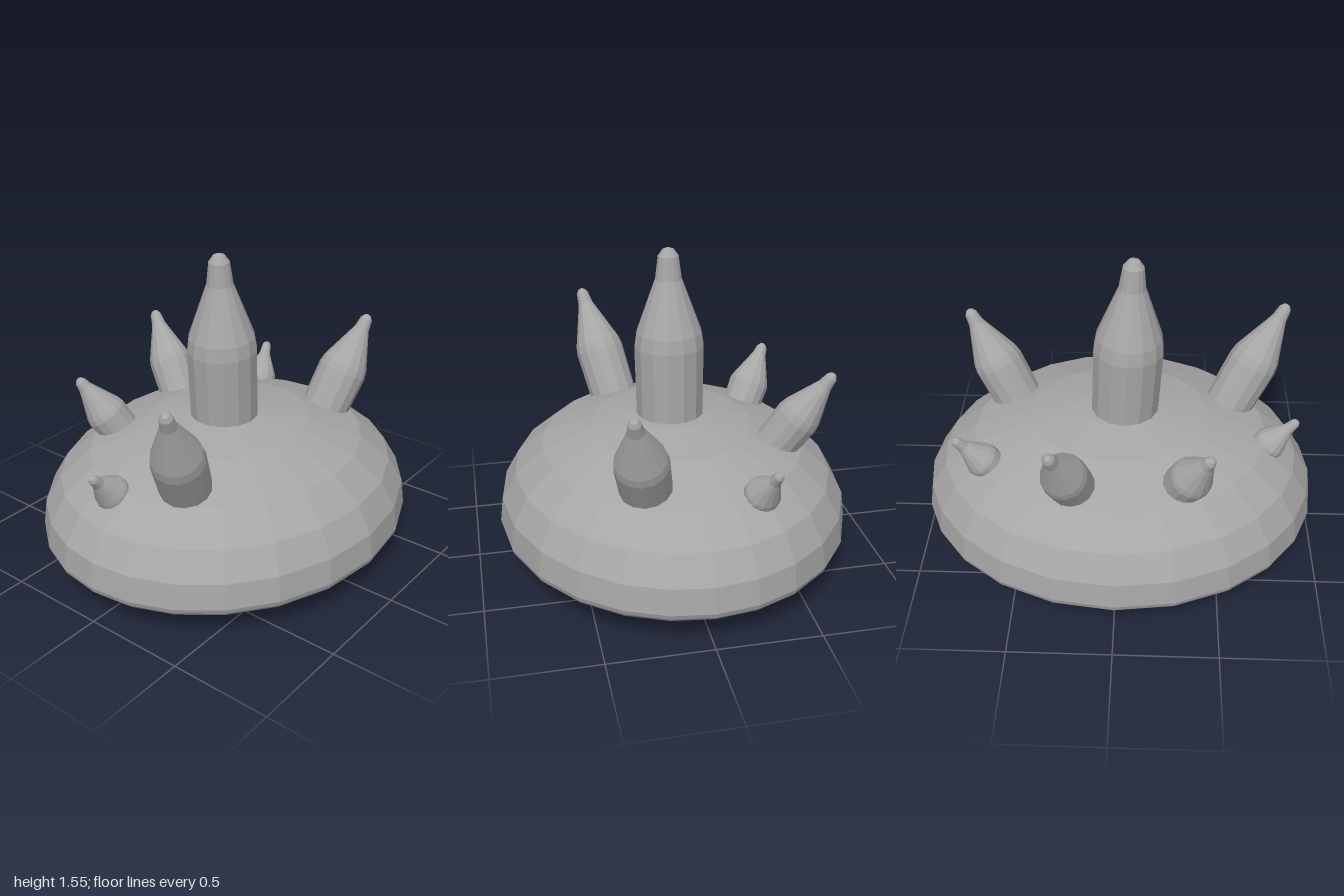
import * as THREE from 'three';

const stone = new THREE.MeshStandardMaterial({ color: 0xa6a6a6, flatShading: true });
stone.name = 'grey stone';

const lathe = (points, sides) =>
  new THREE.LatheGeometry(points.map(([r, y]) => new THREE.Vector2(r, y)), sides);

// Flattened oval dome with a shallow conical underside
function makeBody() {
  const geo = lathe([
    [0, 0], [0.82, 0.083], [0.94, 0.125], [0.975, 0.147], [0.992, 0.166], [1, 0.19],
    [0.982, 0.315], [0.9, 0.445], [0.74, 0.567], [0.45, 0.665], [0.2, 0.708], [0, 0.718],
  ], 24);
  const pos = geo.attributes.position;
  // Slide the ribs around the rim, then squash the circle into an oval
  for (let i = 0; i < pos.count; i++) {
    const x = pos.getX(i), z = pos.getZ(i), r = Math.hypot(x, z);
    const a = Math.atan2(x * 1.134, z);
    pos.setX(i, r * Math.sin(a));
    pos.setZ(i, r * Math.cos(a) * 0.88);
  }
  geo.computeVertexNormals();
  const mesh = new THREE.Mesh(geo, stone);
  mesh.name = 'domeBody';
  return mesh;
}

// Blunt spike from base to tip: straight shaft, shoulder, taper, rounded nub
function makeSpike({ name, base, tip, r, shoulder, neck, nub }) {
  const from = new THREE.Vector3(...base);
  const dir = new THREE.Vector3(...tip).sub(from);
  const L = dir.length();
  const geo = lathe([
    [0, -0.07], [r * 0.96, -0.07], [r * 0.97, 0], [r, shoulder * L],
    [r * 0.94, (shoulder + 0.08) * L],
    [(r * 0.94 + nub) / 2, (shoulder + 0.08 + neck) / 2 * L],
    [nub, neck * L], [nub * 0.78, L - nub * 0.65], [nub * 0.42, L - nub * 0.15], [0, L],
  ], 14);
  const mesh = new THREE.Mesh(geo, stone);
  mesh.name = name;
  mesh.position.copy(from);
  mesh.quaternion.setFromUnitVectors(new THREE.Vector3(0, 1, 0), dir.normalize());
  return mesh;
}

const spikes = [
  { name: 'centreSpike', base: [-0.025, 0.69, 0], tip: [-0.065, 1.547, 0], r: 0.174, shoulder: 0.43, neck: 0.82, nub: 0.066 },
  { name: 'frontLeftSpike', base: [0.555, 0.6, 0.23], tip: [0.787, 1.06, 0.32], r: 0.128, shoulder: 0.38, neck: 0.84, nub: 0.04 },
  { name: 'frontRightSpike', base: [-0.57, 0.6, 0.21], tip: [-0.835, 1.117, 0.335], r: 0.128, shoulder: 0.4, neck: 0.85, nub: 0.04 },
  { name: 'backLeftSpike', base: [0.205, 0.6, -0.5], tip: [0.29, 0.977, -0.745], r: 0.112, shoulder: 0.36, neck: 0.83, nub: 0.037 },
  { name: 'backRightSpike', base: [-0.325, 0.61, -0.47], tip: [-0.44, 0.868, -0.605], r: 0.105, shoulder: 0.25, neck: 0.8, nub: 0.036 },
  { name: 'sideLeftSpike', base: [0.645, 0.55, -0.285], tip: [0.79, 0.734, -0.335], r: 0.087, shoulder: 0.15, neck: 0.7, nub: 0.03 },
  { name: 'sideRightSpike', base: [-0.735, 0.53, -0.085], tip: [-0.89, 0.692, -0.075], r: 0.085, shoulder: 0.15, neck: 0.7, nub: 0.03 },
];

export function createModel() {
  const model = new THREE.Group();
  model.name = 'spikedDome';
  model.add(makeBody(), ...spikes.map(makeSpike));
  return model;
}
